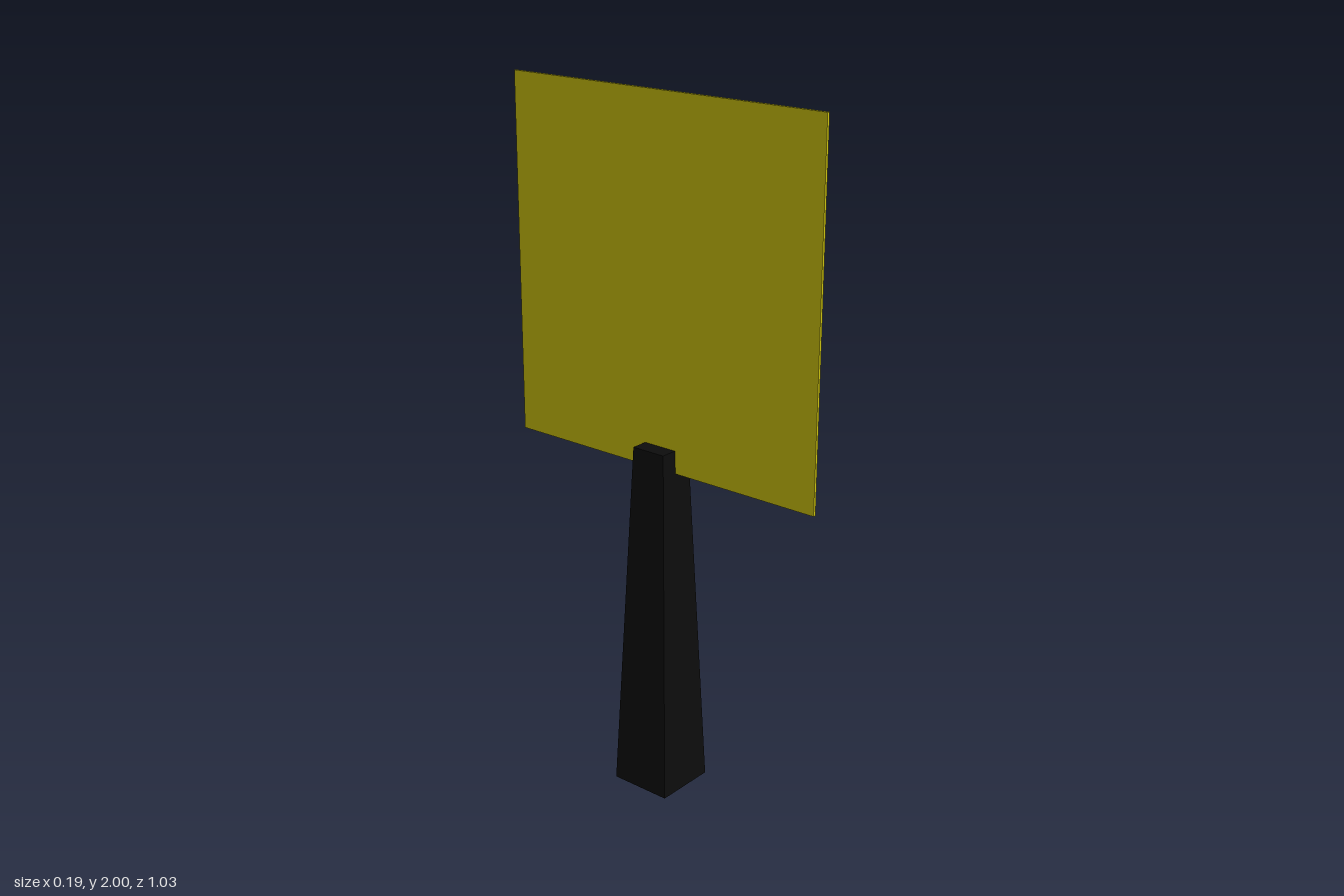
import * as THREE from 'three';

export function createModel() {
  const group = new THREE.Group();

  const black = new THREE.MeshStandardMaterial({ color: 0x0d0d0d, flatShading: true });
  const yellow = new THREE.MeshStandardMaterial({ color: 0xd0c60e, flatShading: true });

  // Square tapered handle: a four-sided cylinder turned so its faces meet the axes
  const baseHalf = 0.093, topHalf = 0.053, handleHeight = 1.035;
  const handleGeometry = new THREE.CylinderGeometry(
    topHalf * Math.SQRT2, baseHalf * Math.SQRT2, handleHeight, 4
  );
  handleGeometry.rotateY(Math.PI / 4);
  const handle = new THREE.Mesh(handleGeometry, black);
  handle.name = 'handle';
  handle.position.y = handleHeight / 2;
  group.add(handle);

  // Thin square panel, its lower edge sunk into the top of the handle
  const panelSize = 1.031;
  const panel = new THREE.Mesh(new THREE.BoxGeometry(0.008, panelSize, panelSize), yellow);
  panel.name = 'panel';
  panel.position.y = 2 - panelSize / 2;
  group.add(panel);

  return group;
}
